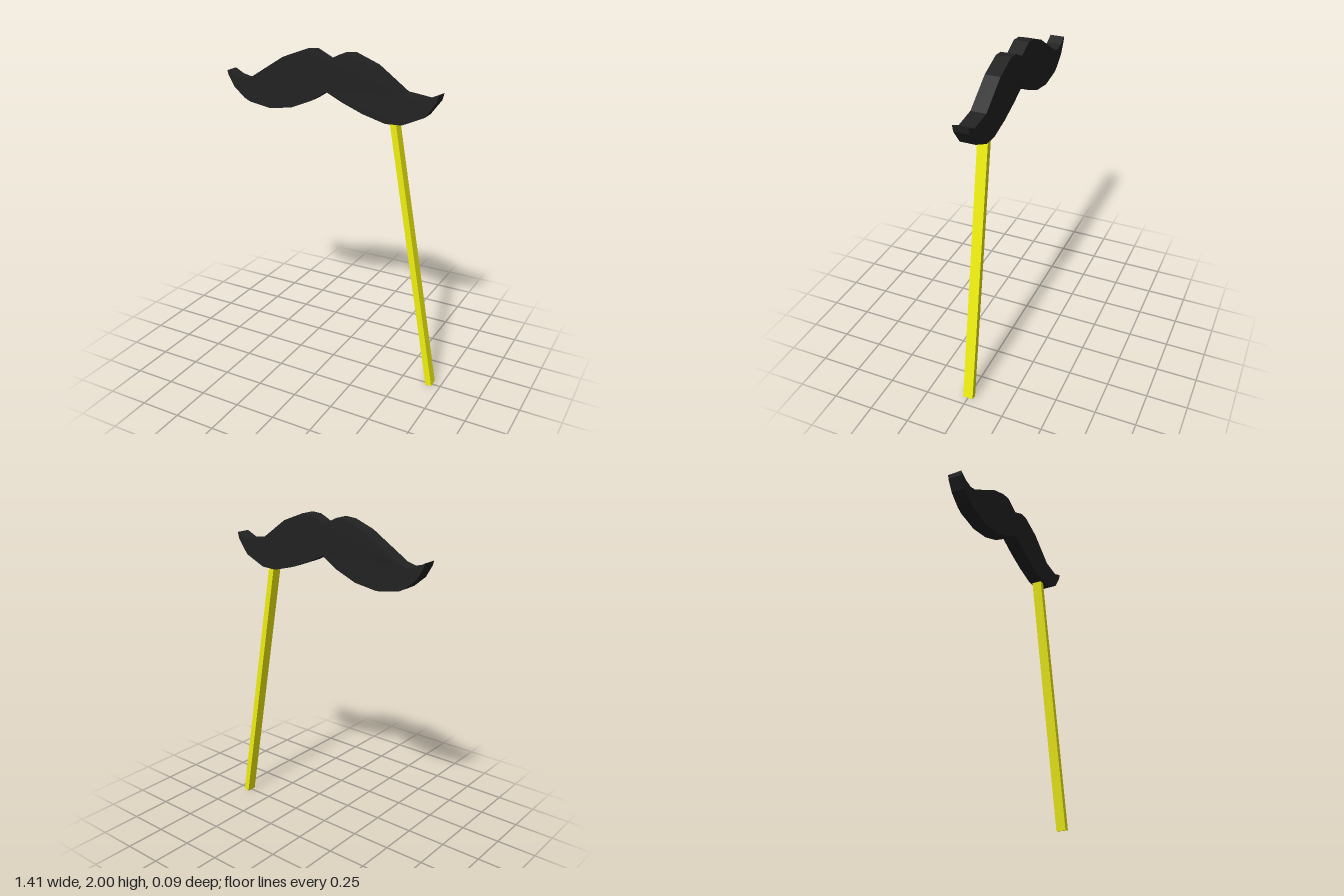
import * as THREE from 'three';

// Outline of the moustache, clockwise from its right tip
const OUTLINE = [
  [-0.706, 1.83], [-0.65, 1.8], [-0.595, 1.787], [-0.545, 1.8], [-0.31, 1.948],
  [-0.19, 1.994], [-0.12, 2.0], [-0.025, 1.954], [0.06, 1.995], [0.125, 2.0],
  [0.267, 1.945], [0.447, 1.815], [0.585, 1.797], [0.655, 1.83], [0.645, 1.79],
  [0.58, 1.702], [0.45, 1.643], [0.35, 1.638], [0.21, 1.675], [0.08, 1.725], [-0.025, 1.775],
  [-0.125, 1.71], [-0.257, 1.655], [-0.405, 1.632], [-0.55, 1.655], [-0.59, 1.675],
  [-0.66, 1.735], [-0.7, 1.805],
];

export function createModel() {
  const group = new THREE.Group();

  // Flat moustache plate
  const depth = 0.09;
  const shape = new THREE.Shape(OUTLINE.map(([x, y]) => new THREE.Vector2(x, y)));
  const plate = new THREE.ExtrudeGeometry(shape, { depth, bevelEnabled: false });
  plate.translate(0, 0, -depth / 2);
  const moustache = new THREE.Mesh(
    plate,
    new THREE.MeshStandardMaterial({ color: 0x222222, flatShading: true }),
  );
  moustache.name = 'moustache';
  group.add(moustache);

  // Slanted square-edged handle, its upper end set into the plate
  const bottom = new THREE.Vector3(0.683, 0.004, -0.002);
  const top = new THREE.Vector3(0.388, 1.65, -0.002);
  const axis = top.clone().sub(bottom);
  const stick = new THREE.Mesh(
    new THREE.BoxGeometry(0.037, axis.length(), 0.063),
    new THREE.MeshStandardMaterial({ color: 0xf0f010, flatShading: true }),
  );
  stick.position.copy(bottom).add(top).multiplyScalar(0.5);
  stick.quaternion.setFromUnitVectors(new THREE.Vector3(0, 1, 0), axis.normalize());
  stick.name = 'handleStick';
  group.add(stick);

  return group;
}
